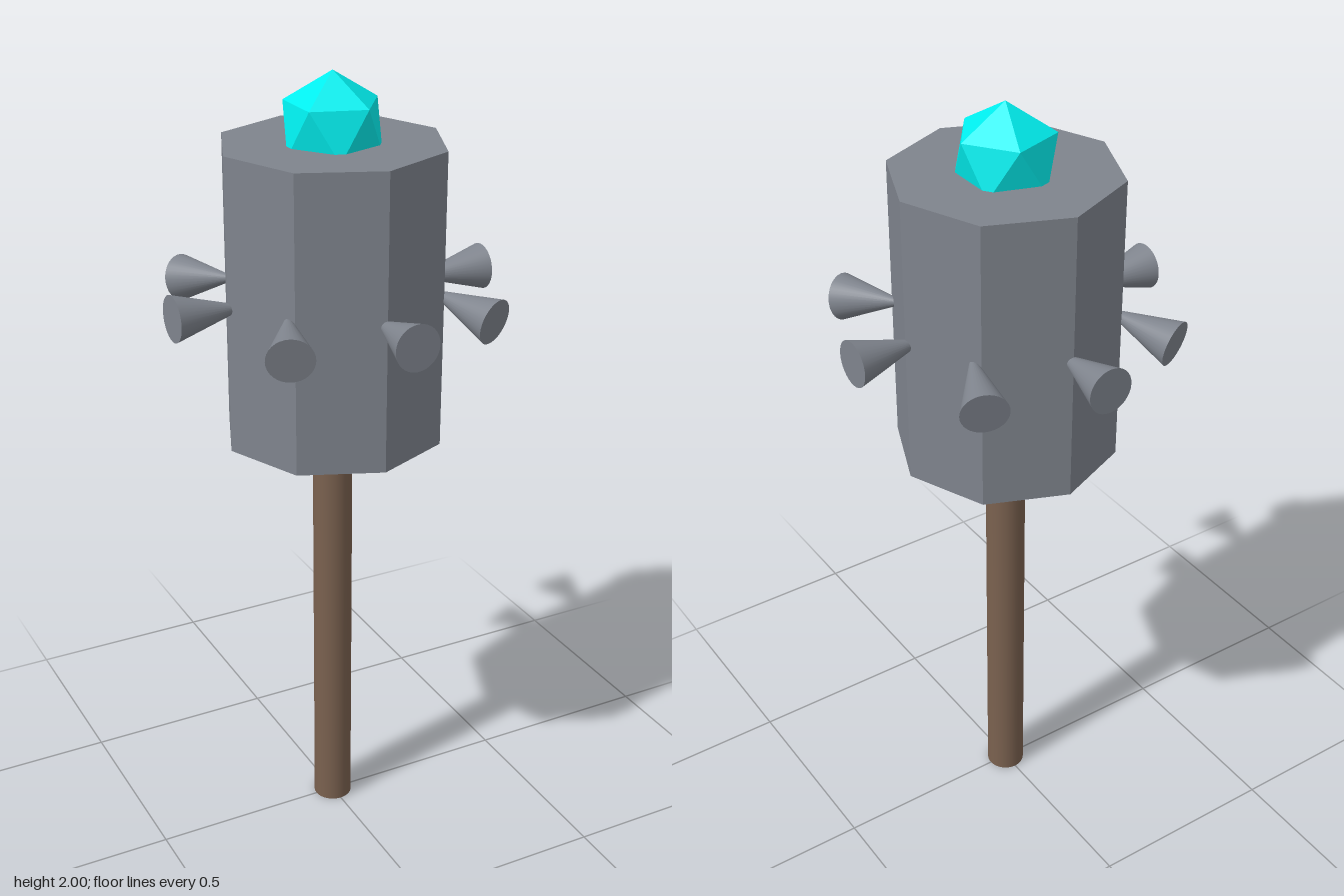
import * as THREE from 'three';

const WOOD = new THREE.MeshStandardMaterial({ color: 0x7a614f });
const STONE = new THREE.MeshStandardMaterial({ color: 0x7f848d });
const FACETED_STONE = new THREE.MeshStandardMaterial({ color: 0x7f848d, flatShading: true });
const CRYSTAL = new THREE.MeshStandardMaterial({ color: 0x00eeee, flatShading: true });

function addPart(parent, name, geometry, material, x, y, z) {
  const mesh = new THREE.Mesh(geometry, material);
  mesh.name = name;
  mesh.position.set(x, y, z);
  parent.add(mesh);
  return mesh;
}

export function createModel() {
  const mace = new THREE.Group();
  mace.name = 'mace';

  // Round wooden shaft, its top end sunk slightly into the head
  const shaftLength = 1.12;
  addPart(mace, 'handle', new THREE.CylinderGeometry(0.05, 0.05, shaftLength, 32), WOOD, 0, shaftLength / 2, 0);

  // Octagonal head with corners on the x and z axes
  const headBottom = 1.1, headTop = 1.833;
  const headCentre = (headBottom + headTop) / 2;
  addPart(mace, 'head', new THREE.CylinderGeometry(0.277, 0.277, headTop - headBottom, 8), FACETED_STONE, 0, headCentre, 0);

  // Ring of studs: cones with the tip buried and the flat base outwards;
  // the diagonal ones droop a little and lean towards the z axis
  const studs = new THREE.Group();
  studs.name = 'studs';
  mace.add(studs);
  const studGeometry = new THREE.ConeGeometry(0.057, 0.195, 32);
  for (let i = 0; i < 8; i++) {
    const a = (i * Math.PI) / 4;
    const c = Math.cos(a), s = Math.sin(a);
    const stud = addPart(studs, 'stud', studGeometry, STONE, 0.319 * c, headCentre, 0.319 * s);
    stud.rotation.set((-Math.PI / 2) * s, 0, (Math.PI / 2) * c, 'ZYX');
  }

  // Icosahedral crystal standing on one point, half set into the head
  const gemRadius = 0.131;
  const gem = new THREE.IcosahedronGeometry(gemRadius, 0);
  gem.rotateZ(-Math.atan(2 / (1 + Math.sqrt(5))));
  addPart(mace, 'crystal', gem, CRYSTAL, 0, 2 - gemRadius, 0);

  return mace;
}
